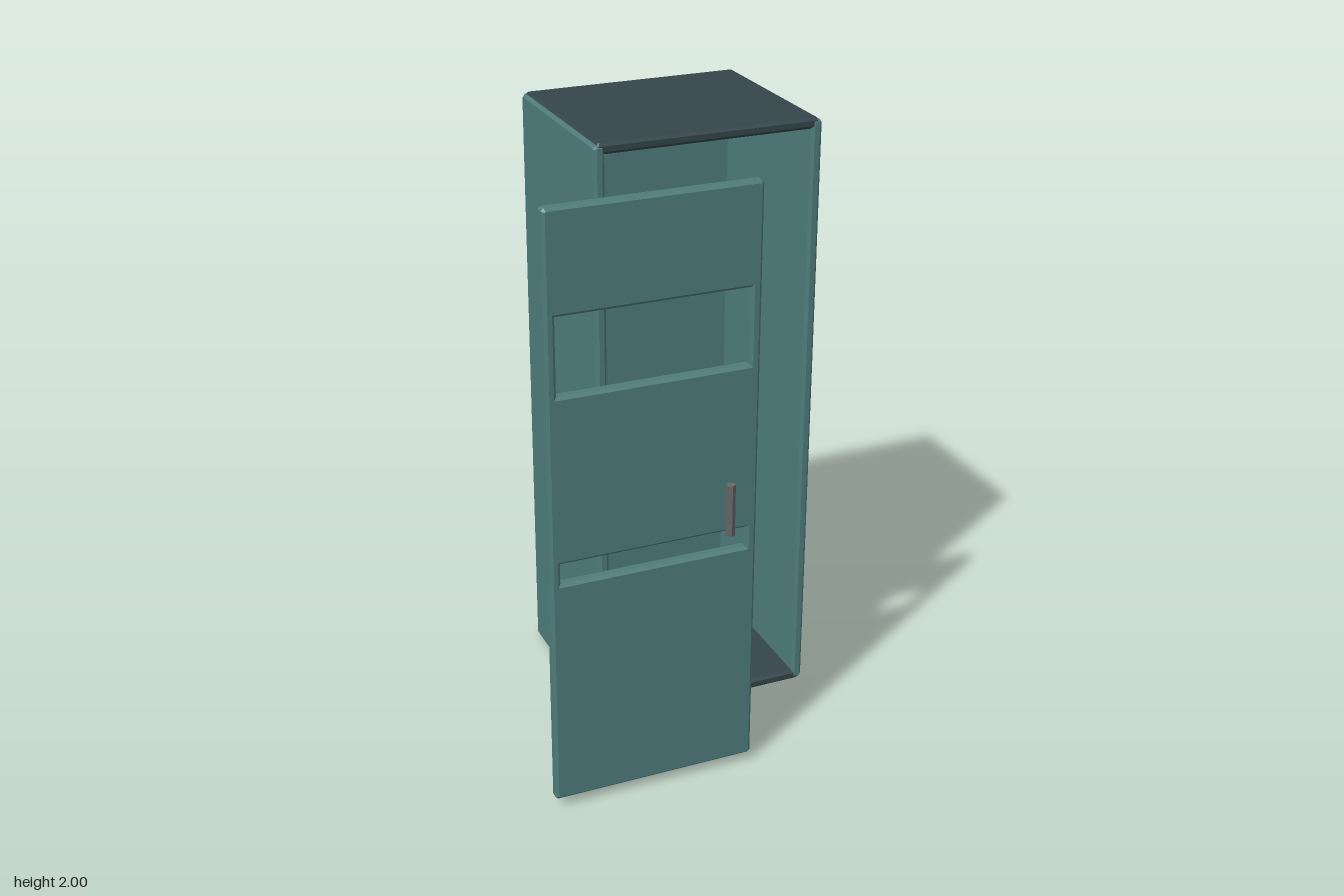
import * as THREE from 'three';

const BEVEL = 0.009;

// Rectangle with small cut corners, as a point list.
function cutRect(x0, y0, x1, y1, c) {
  return [
    [x0 + c, y0], [x1 - c, y0], [x1, y0 + c], [x1, y1 - c],
    [x1 - c, y1], [x0 + c, y1], [x0, y1 - c], [x0, y0 + c],
  ].map(([x, y]) => new THREE.Vector2(x, y));
}

// Chamfered board, w by h, t thick along z, centred; holes are [x0, y0, x1, y1].
function board(w, h, t, holes = []) {
  const b = BEVEL;
  const shape = new THREE.Shape(
    cutRect(-w / 2 + b, -h / 2 + b, w / 2 - b, h / 2 - b, 0.003));
  for (const [x0, y0, x1, y1] of holes) {
    const e = 0.005;
    shape.holes.push(new THREE.Path([
      new THREE.Vector2(x0 - e, y0 - e), new THREE.Vector2(x0 - e, y1 + e),
      new THREE.Vector2(x1 + e, y1 + e), new THREE.Vector2(x1 + e, y0 - e),
    ]));
  }
  const geo = new THREE.ExtrudeGeometry(shape, {
    depth: t - 2 * b, bevelEnabled: true, bevelSize: b, bevelThickness: b, bevelSegments: 1,
  });
  return geo.translate(0, 0, -(t - 2 * b) / 2);
}

export function createModel() {
  const model = new THREE.Group();
  const teal = new THREE.MeshStandardMaterial({ color: 0x4f7b7b });
  const dark = new THREE.MeshStandardMaterial({ color: 0x34454a });
  const metal = new THREE.MeshStandardMaterial({ color: 0x666666 });

  const add = (parent, name, geo, mat, x, y, z) => {
    const mesh = new THREE.Mesh(geo, mat);
    mesh.name = name;
    mesh.position.set(x, y, z);
    parent.add(mesh);
    return mesh;
  };

  // Open-fronted cabinet
  const cabinet = new THREE.Group();
  cabinet.name = 'cabinet';
  model.add(cabinet);
  const cx = 0.147, cz = -0.212, wall = 0.035;
  for (const side of [-1, 1]) {
    add(cabinet, side < 0 ? 'rightWall' : 'leftWall',
      board(0.632, 1.988, wall).rotateY(Math.PI / 2), teal,
      cx + side * (0.3725 - wall / 2), 1, cz);
  }
  add(cabinet, 'backWall', board(0.727, 1.988, wall), teal, cx, 1, -0.53 + wall / 2);
  for (const [name, y] of [['floor', wall / 2], ['roof', 2 - wall / 2]]) {
    add(cabinet, name, board(0.727, 0.628, wall).rotateX(-Math.PI / 2), dark, cx, y, cz);
  }

  // Detached door with two window openings
  const dx = -0.189, dy = 0.995;
  const windows = [[-0.495, 1.395, 0.115, 1.645], [-0.495, 0.79, 0.115, 0.865]]
    .map(([x0, y0, x1, y1]) => [x0 - dx, y0 - dy, x1 - dx, y1 - dy]);
  add(model, 'door', board(0.668, 1.93, 0.04, windows), teal, dx, dy, 0.458);

  // Six-sided handle bar
  const bar = new THREE.CylinderGeometry(0.015, 0.015, 0.17, 6).toNonIndexed();
  bar.computeVertexNormals();
  add(model, 'doorHandle', bar, metal, 0.038, 0.955, 0.515);

  return model;
}
